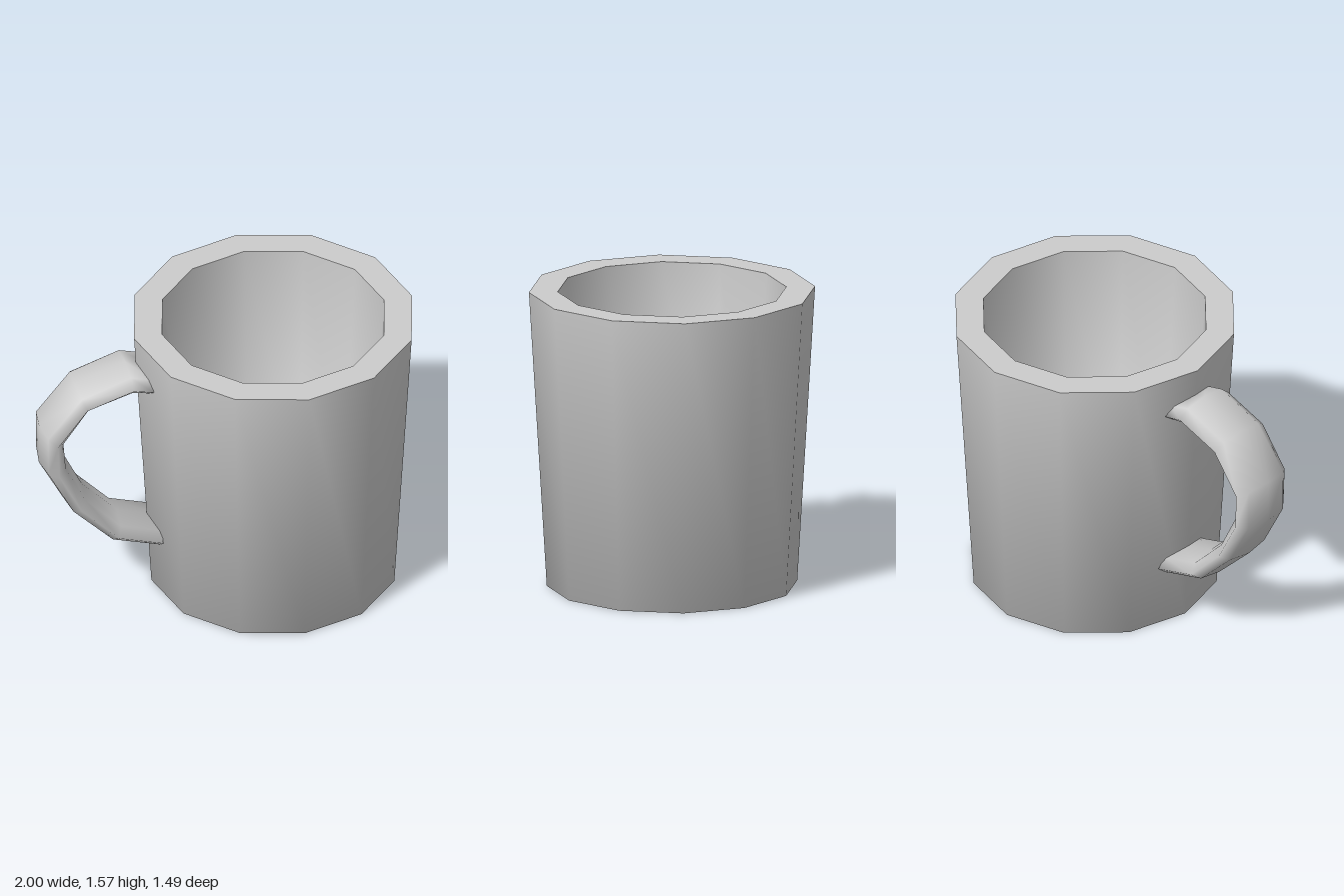
import * as THREE from 'three';

const material = new THREE.MeshStandardMaterial({ color: 0xcccccc });
const SIDES = 12;
const HEIGHT = 1.57;

// One band of the cup, turned from a [radius, y] profile
function turned(name, profile) {
  const points = profile.map(([r, y]) => new THREE.Vector2(r, y));
  const mesh = new THREE.Mesh(new THREE.LatheGeometry(points, SIDES), material);
  mesh.name = name;
  return mesh;
}

// Flattened oval band lofted between an outer and an inner curve
function handleGeometry(outer, inner, halfWidth, ringSides) {
  const positions = [];
  const index = [];
  outer.forEach(([ox, oy], i) => {
    const [ix, iy] = inner[i];
    for (let j = 0; j < ringSides; j++) {
      const t = (j / ringSides) * Math.PI * 2;
      const k = Math.cos(t) / 2;
      positions.push(
        (ox + ix) / 2 + (ox - ix) * k,
        (oy + iy) / 2 + (oy - iy) * k,
        Math.sin(t) * halfWidth
      );
    }
  });
  const last = (outer.length - 1) * ringSides;
  for (let i = 0; i < outer.length - 1; i++) {
    for (let j = 0; j < ringSides; j++) {
      const a = i * ringSides + j;
      const b = i * ringSides + ((j + 1) % ringSides);
      index.push(a, a + ringSides, b, b, a + ringSides, b + ringSides);
    }
  }
  // End caps
  for (let j = 1; j < ringSides - 1; j++) {
    index.push(0, j, j + 1, last, last + j + 1, last + j);
  }
  const geometry = new THREE.BufferGeometry();
  geometry.setAttribute('position', new THREE.Float32BufferAttribute(positions, 3));
  geometry.setIndex(index);
  geometry.computeVertexNormals();
  return geometry;
}

export function createModel() {
  const model = new THREE.Group();
  model.name = 'mug';

  // Cup: tapered outside with base, flat rim, hollow inside with floor
  const cup = new THREE.Group();
  cup.name = 'cup';
  cup.position.x = 0.255;
  cup.add(
    turned('outerWall', [[0, 0], [0.652, 0], [0.745, HEIGHT]]),
    turned('rim', [[0.745, HEIGHT], [0.595, HEIGHT]]),
    turned('innerWall', [[0.595, HEIGHT], [0.51, 0.15], [0, 0.15]])
  );
  model.add(cup);

  // Handle on the right-hand side
  const outer = [
    [-0.41, 1.395], [-0.54, 1.435], [-0.81, 1.34], [-1, 1.11],
    [-1, 0.87], [-0.86, 0.6], [-0.645, 0.38], [-0.39, 0.3],
  ];
  const inner = [
    [-0.45, 1.285], [-0.53, 1.3], [-0.76, 1.235], [-0.885, 1.05],
    [-0.87, 0.9], [-0.77, 0.69], [-0.585, 0.49], [-0.37, 0.42],
  ];
  const handle = new THREE.Mesh(handleGeometry(outer, inner, 0.18, 8), material);
  handle.name = 'handle';
  model.add(handle);

  return model;
}
